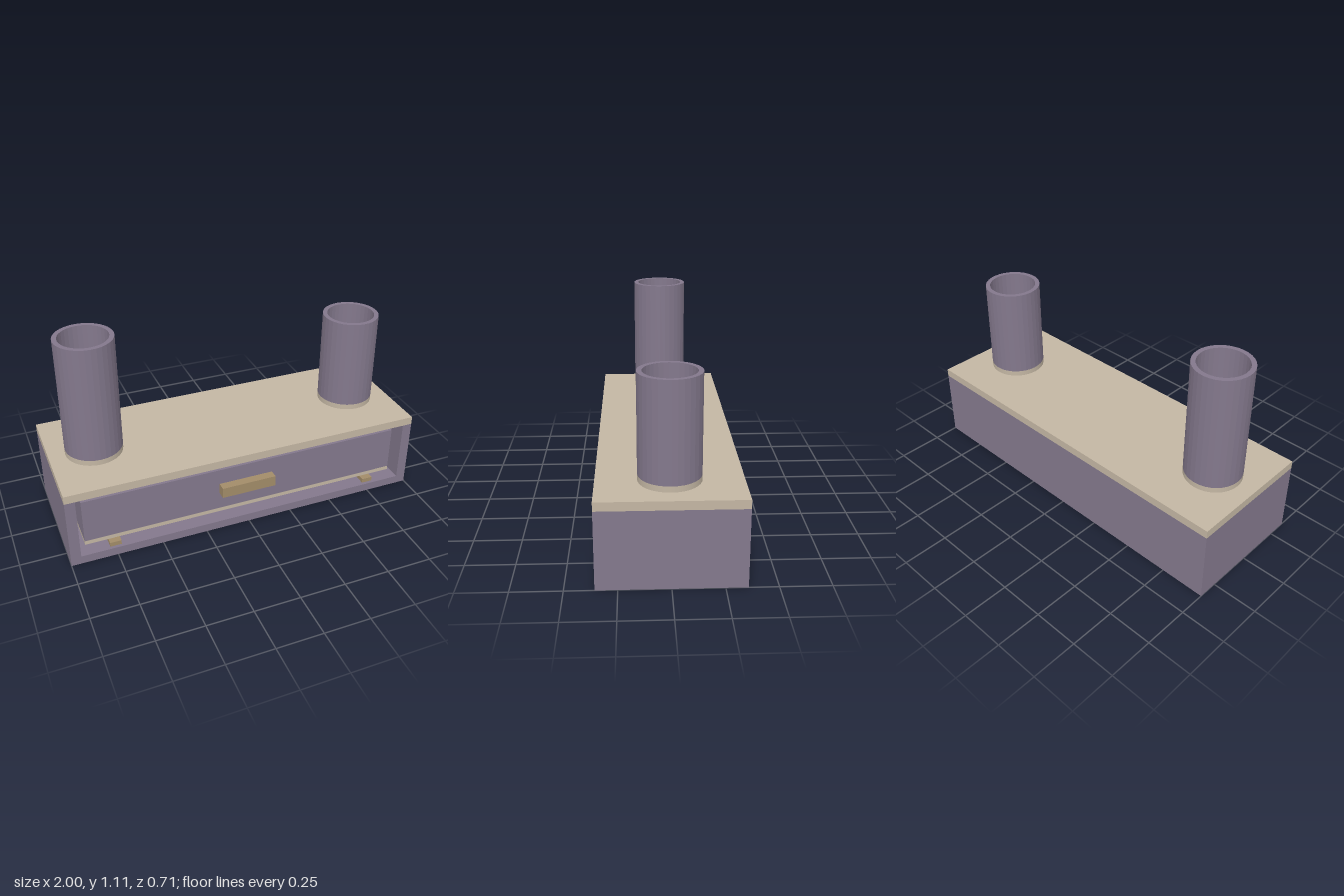
import * as THREE from 'three';

const material = (name, color) => {
  const m = new THREE.MeshStandardMaterial({ color });
  m.name = name;
  return m;
};

export function createModel() {
  const model = new THREE.Group();
  const purple = material('mauve', 0x83788c);
  const beige = material('beige', 0xc3b6a3);
  const tan = material('tan', 0xa28c69);

  // Box given by its minimum and maximum corners
  const box = (parent, name, mat, [x0, y0, z0], [x1, y1, z1]) => {
    const mesh = new THREE.Mesh(new THREE.BoxGeometry(x1 - x0, y1 - y0, z1 - z0), mat);
    mesh.position.set((x0 + x1) / 2, (y0 + y1) / 2, (z0 + z1) / 2);
    mesh.name = name;
    parent.add(mesh);
  };

  // Cabinet: an extruded frame, open at the front, with a back panel and a top slab
  const D = 0.357, H = 0.4, back = 0.05;
  const cabinet = new THREE.Group();
  cabinet.name = 'cabinet';
  const outline = new THREE.Shape([[-1, 0], [1, 0], [1, H], [0.945, H], [0.945, 0.047],
    [-0.945, 0.047], [-0.945, H], [-1, H]].map(p => new THREE.Vector2(...p)));
  const frame = new THREE.Mesh(
    new THREE.ExtrudeGeometry(outline, { depth: 2 * D, bevelEnabled: false }), purple);
  frame.name = 'cabinetFrame';
  frame.position.z = -D;
  cabinet.add(frame);
  box(cabinet, 'backPanel', purple, [-0.945, 0.047, -D], [0.945, H, -D + back]);
  box(cabinet, 'topSlab', beige, [-1, H, -D], [1, 0.445, D]);
  model.add(cabinet);

  // Drawer: open box with a pale floor, recessed into the cabinet
  const drawer = new THREE.Group();
  drawer.name = 'drawer';
  const W = 0.91, front = D - 0.053, rear = -D + 0.07, t = 0.025, floor = 0.095, top = 0.347;
  box(drawer, 'drawerFloor', beige, [-W, 0.072, rear], [W, floor, front]);
  box(drawer, 'drawerFront', purple, [-W, floor, front - t], [W, top, front]);
  box(drawer, 'drawerBack', purple, [-W, floor, rear], [W, top, rear + t]);
  for (const s of [-1, 1]) {
    const x = s * (W - t / 2);
    box(drawer, 'drawerSide', purple, [x - t / 2, floor, rear + t], [x + t / 2, top, front - t]);
    box(drawer, 'drawerRunner', tan, [s * 0.755 - 0.031, 0.047, front - 0.06], [s * 0.755 + 0.031, 0.072, D - 0.018]);
  }
  box(drawer, 'handle', tan, [-0.155, 0.196, front], [0.155, 0.257, D - 0.005]);
  model.add(drawer);

  // Hollow tubes, each standing on a pale round base
  const addTube = (name, x, height) => {
    const group = new THREE.Group();
    group.name = name;
    const base = new THREE.Mesh(new THREE.CylinderGeometry(0.155, 0.155, 0.03, 32), beige);
    base.name = 'tubeBase';
    base.position.y = 0.46;
    const profile = [[0.13, 0.475], [0.155, 0.475], [0.155, height], [0.13, height], [0.13, 0.475]];
    const wall = new THREE.Mesh(
      new THREE.LatheGeometry(profile.map(p => new THREE.Vector2(...p)), 32).toNonIndexed(), purple);
    wall.geometry.computeVertexNormals();
    wall.name = 'tubeWall';
    group.add(base, wall);
    group.position.x = x;
    model.add(group);
  };
  addTube('rightTube', -0.755, 1.113);
  addTube('leftTube', 0.755, 0.98);

  return model;
}
